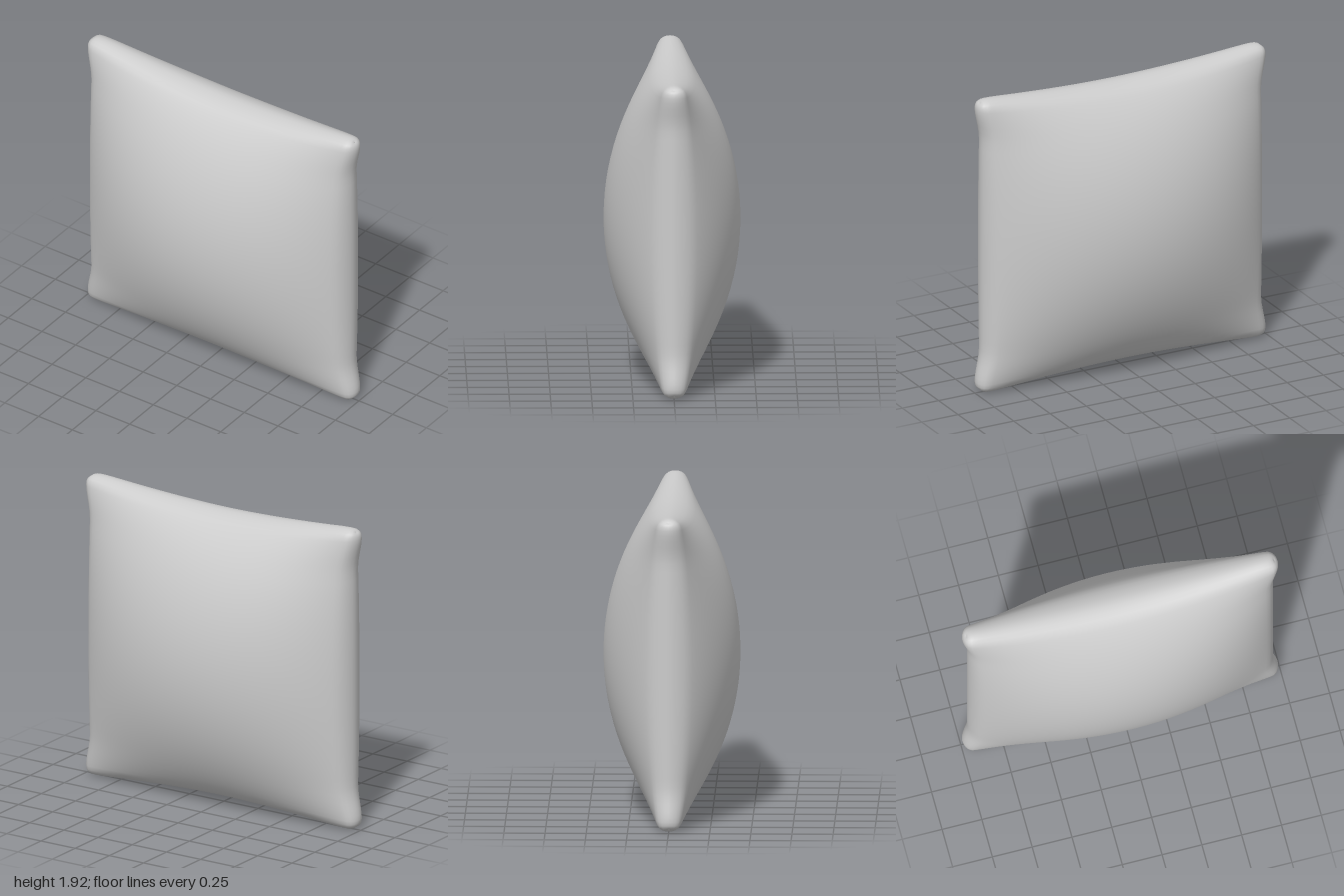
import * as THREE from 'three';
import { mergeGeometries, mergeVertices } from 'three/addons/utils/BufferGeometryUtils.js';

const SEGMENTS = 40;
const RIM = 0.06; // radius of the rounded rim

// Height of the rounded rim, squared, for a grid coordinate (1 inside, 0 at the edge)
const rimFactor = (t) => 1 - Math.max(0, 1 - (1 - Math.abs(t)) / RIM) ** 2;
// Swelling of the filling across one direction
const swell = (t) => Math.max(0, 1 - t * t) ** 0.76;

// One padded side of the cushion, facing +z
function createSide() {
  const side = new THREE.PlaneGeometry(2, 2, SEGMENTS, SEGMENTS);
  side.deleteAttribute('uv');
  side.deleteAttribute('normal');
  const p = side.attributes.position;
  for (let i = 0; i < p.count; i++) {
    // Crowd the grid lines towards the rim
    const u = Math.sin(p.getX(i) * Math.PI / 2);
    const v = Math.sin(p.getY(i) * Math.PI / 2);
    const au = Math.abs(u), av = Math.abs(v);
    // Outline: flared corners on the sides, a shallow curve on top and bottom
    const round = 0.035 * (au * av) ** 24;
    const halfWidth = 0.958 + 0.042 * THREE.MathUtils.smoothstep(av, 0.7, 0.97) - round;
    const halfHeight = 0.915 + 0.06 * au ** 1.8 - round;
    const rim = RIM * Math.sqrt(Math.max(0, rimFactor(u) * rimFactor(v)));
    p.setXYZ(i, u * halfWidth, v * halfHeight, rim + 0.356 * swell(u) * swell(v));
  }
  return side;
}

export function createModel() {
  const group = new THREE.Group();
  group.name = 'cushion';

  // Front and back sides welded along the rim
  const front = createSide();
  const back = front.clone().rotateY(Math.PI);
  const geometry = mergeVertices(mergeGeometries([front, back]), 1e-4);
  geometry.computeVertexNormals();
  geometry.computeBoundingBox();
  geometry.translate(0, -geometry.boundingBox.min.y, 0);

  const cover = new THREE.Mesh(geometry, new THREE.MeshStandardMaterial({ color: 0xcccccc }));
  cover.name = 'cushionCover';
  group.add(cover);
  return group;
}
